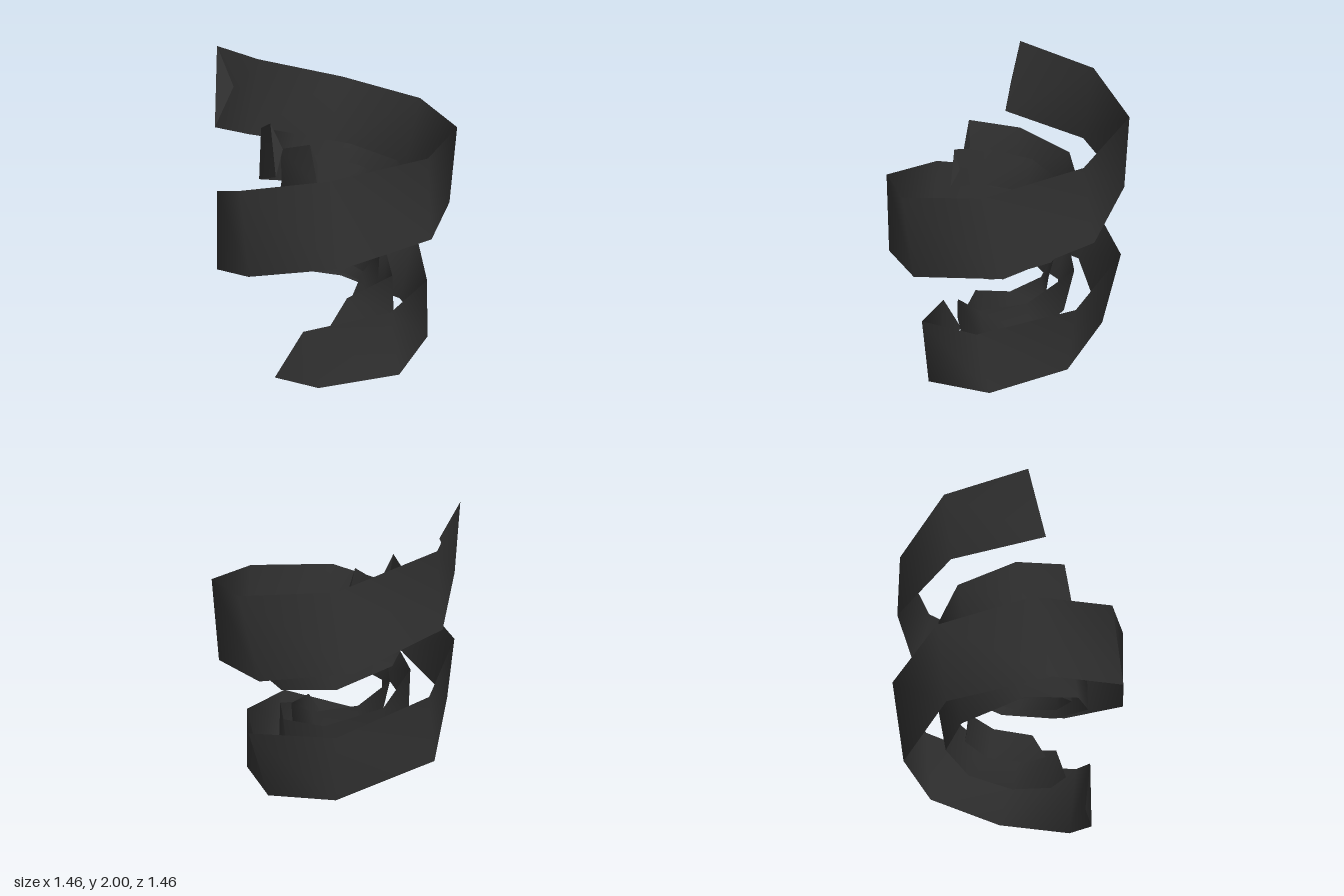
import * as THREE from 'three';

// Upper and lower edge of one ribbon, followed down the spiral
const upper = [
  [-0.55, 2.0, -0.46], [-0.1, 1.89, -0.72], [0.47, 1.76, -0.56], [0.73, 1.64, -0.05],
  [0.56, 1.52, 0.48], [0.1, 1.41, 0.73], [-0.46, 1.32, 0.57], [-0.73, 1.22, 0.08],
  [-0.58, 1.11, -0.46], [-0.09, 1.0, -0.73], [0.47, 0.87, -0.56], [0.71, 0.75, -0.05],
  [0.39, 0.57, 0.43], [-0.03, 0.49, 0.58], [-0.41, 0.35, 0.23],
];
const lower = [
  [-0.62, 1.52, -0.39], [-0.18, 1.4, -0.72], [0.39, 1.28, -0.62], [0.7, 1.15, -0.17],
  [0.61, 1.03, 0.38], [0.16, 0.93, 0.71], [-0.4, 0.83, 0.61], [-0.73, 0.73, 0.15],
  [-0.64, 0.63, -0.38], [-0.18, 0.51, -0.72], [0.41, 0.37, -0.49], [0.61, 0.27, -0.08],
  [0.45, 0.17, 0.38], [0.04, 0.085, 0.585], [-0.35, 0, 0.3],
];
const topFold = [-0.5, 1.76, -0.36];
const tailTip = [-0.5, 0.02, 0.05];

function surface(points, index) {
  const g = new THREE.BufferGeometry();
  g.setAttribute('position', new THREE.Float32BufferAttribute(points.flat(), 3));
  g.setIndex(index);
  g.computeVertexNormals();
  return g;
}

function bandGeometry() {
  const n = upper.length;
  const index = [];
  for (let i = 0; i < n - 1; i++) {
    index.push(i, i + 1, n + i, i + 1, n + i + 1, n + i);
  }
  // pointed tail at the bottom end
  index.push(n - 1, 2 * n, 2 * n - 1);
  return surface([...upper, ...lower, tailTip], index);
}

export function createModel() {
  const model = new THREE.Group();
  model.name = 'nestedSpiralRibbons';
  const charcoal = new THREE.MeshStandardMaterial({ color: 0x333333, side: THREE.DoubleSide });
  charcoal.name = 'charcoal';

  const band = bandGeometry();
  const fold = surface([upper[0], lower[0], topFold], [0, 1, 2]);

  // Three copies, each smaller and turned further around the axis
  const ribbons = [
    ['outerRibbon', 1, 0, 0],
    ['middleRibbon', 0.64, 0.655, 0.29],
    ['innerRibbon', 0.495, 1.2, 0.465],
  ];
  for (const [name, scale, turn, lift] of ribbons) {
    const ribbon = new THREE.Group();
    ribbon.name = name;
    const strip = new THREE.Mesh(band, charcoal);
    strip.name = 'spiralBand';
    const end = new THREE.Mesh(fold, charcoal);
    end.name = 'foldedEnd';
    ribbon.add(strip, end);
    ribbon.scale.setScalar(scale);
    ribbon.rotation.y = turn;
    ribbon.position.y = lift;
    model.add(ribbon);
  }
  return model;
}
